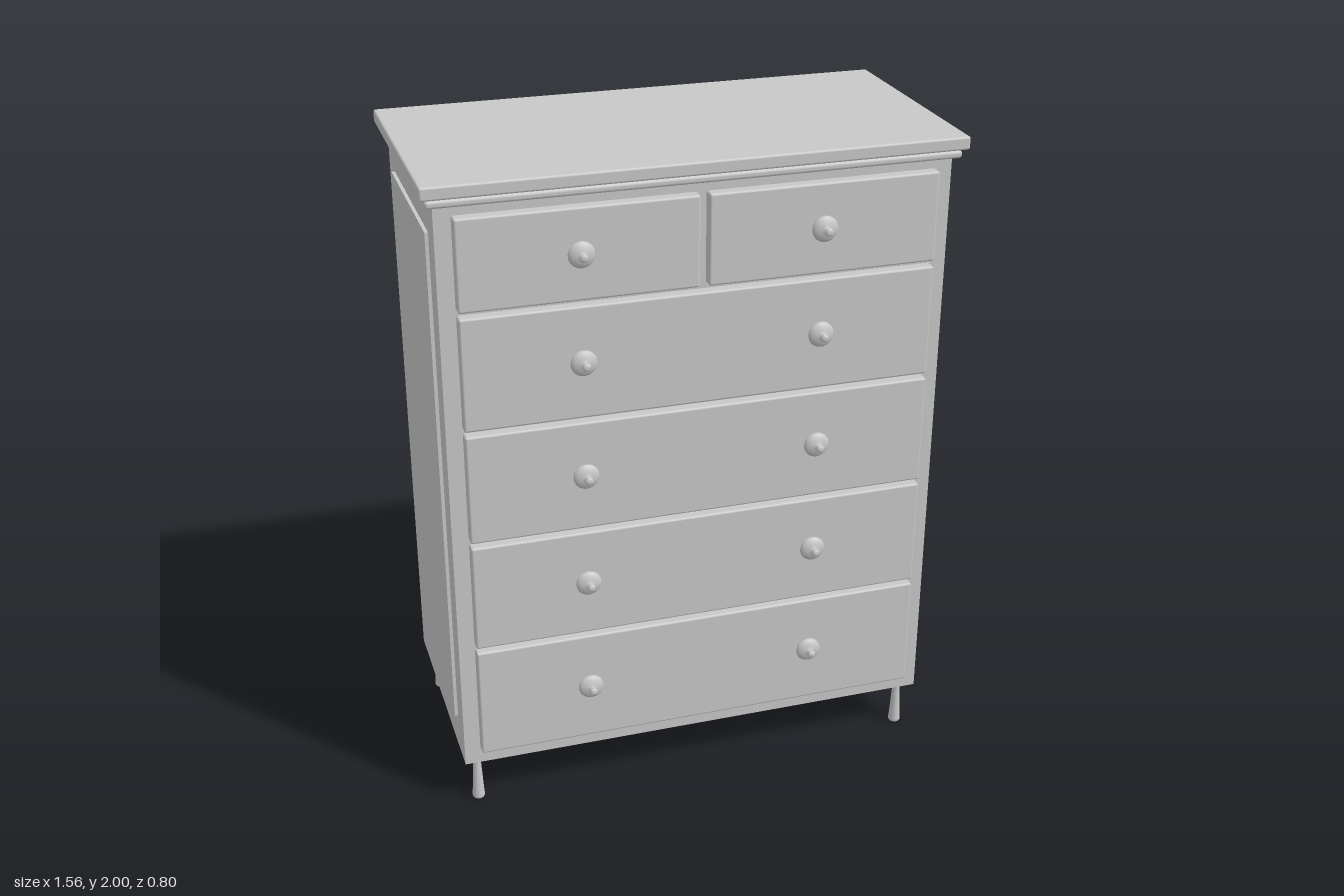
import * as THREE from 'three';
import { RoundedBoxGeometry } from 'three/addons/geometries/RoundedBoxGeometry.js';

export function createModel() {
  const model = new THREE.Group();
  model.name = 'chestOfDrawers';
  const paint = new THREE.MeshStandardMaterial({ color: 0xc8c8c8 });
  paint.name = 'plain grey';

  // Box given by its limits; a radius rounds its edges
  function box(name, [x0, x1], [y0, y1], [z0, z1], radius = 0, parent = model) {
    const w = x1 - x0, h = y1 - y0, d = z1 - z0;
    const geometry = radius
      ? new RoundedBoxGeometry(w, h, d, 2, radius)
      : new THREE.BoxGeometry(w, h, d);
    const mesh = new THREE.Mesh(geometry, paint);
    mesh.name = name;
    mesh.position.set((x0 + x1) / 2, (y0 + y1) / 2, (z0 + z1) / 2);
    parent.add(mesh);
    return mesh;
  }

  // Lathe from [radius, height] pairs
  const lathe = (points, sides) =>
    new THREE.LatheGeometry(points.map(([r, y]) => new THREE.Vector2(r, y)), sides);

  // Carcass and top
  box('carcass', [-0.74, 0.74], [0.156, 1.935], [-0.398, 0.327]);
  box('topMoulding', [-0.762, 0.762], [1.934, 1.957], [-0.399, 0.349], 0.009);
  box('topNeck', [-0.748, 0.748], [1.955, 1.964], [-0.398, 0.336]);
  box('topBoard', [-0.778, 0.778], [1.961, 2], [-0.4, 0.362], 0.007);

  // Raised side panels
  for (const side of [-1, 1]) {
    const inner = side * 0.735, outer = side * 0.75;
    box(side > 0 ? 'leftSidePanel' : 'rightSidePanel',
      [Math.min(inner, outer), Math.max(inner, outer)], [0.278, 1.836], [-0.305, 0.24]);
  }

  // Turned knob: dish, stem and small button
  const knobGeometry = lathe([
    [0.038, 0], [0.038, 0.004], [0.035, 0.009], [0.028, 0.014], [0.017, 0.018],
    [0.008, 0.02], [0.006, 0.024], [0.007, 0.027], [0.011, 0.03], [0.012, 0.034],
    [0.01, 0.038], [0.005, 0.04], [0, 0.04],
  ], 32);
  knobGeometry.rotateX(Math.PI / 2);

  // Drawer rows: bottom, top, knob height, x limits of each front
  const full = [[-0.692, 0.692]];
  const halves = [[-0.692, -0.013], [0.013, 0.692]];
  const rows = [
    [1.639, 1.906, 1.773, halves],
    [1.286, 1.623, 1.455, full],
    [0.933, 1.271, 1.102, full],
    [0.58, 0.918, 0.75, full],
    [0.208, 0.565, 0.387, full],
  ];
  for (const [y0, y1, knobY, fronts] of rows) {
    const row = new THREE.Group();
    row.name = 'drawerRow';
    for (const xs of fronts) box('drawerFront', xs, [y0, y1], [0.31, 0.36], 0.007, row);
    for (const x of [-0.35, 0.35]) {
      const knob = new THREE.Mesh(knobGeometry, paint);
      knob.name = 'knob';
      knob.position.set(x, knobY, 0.36);
      row.add(knob);
    }
    model.add(row);
  }

  // Flared round legs, and rails running between them
  const legGeometry = lathe([
    [0, 0], [0.017, 0], [0.019, 0.004], [0.019, 0.012], [0.0175, 0.03],
    [0.0155, 0.07], [0.013, 0.115], [0.012, 0.135], [0.015, 0.142], [0.015, 0.16],
  ], 24);
  for (const z of [0.285, -0.353]) {
    box('bottomRail', [-0.73, 0.73], [0.141, 0.158], [z - 0.014, z + 0.014]);
    for (const x of [-0.698, 0.698]) {
      const leg = new THREE.Mesh(legGeometry, paint);
      leg.name = 'leg';
      leg.position.set(x, 0, z);
      model.add(leg);
    }
  }
  return model;
}
